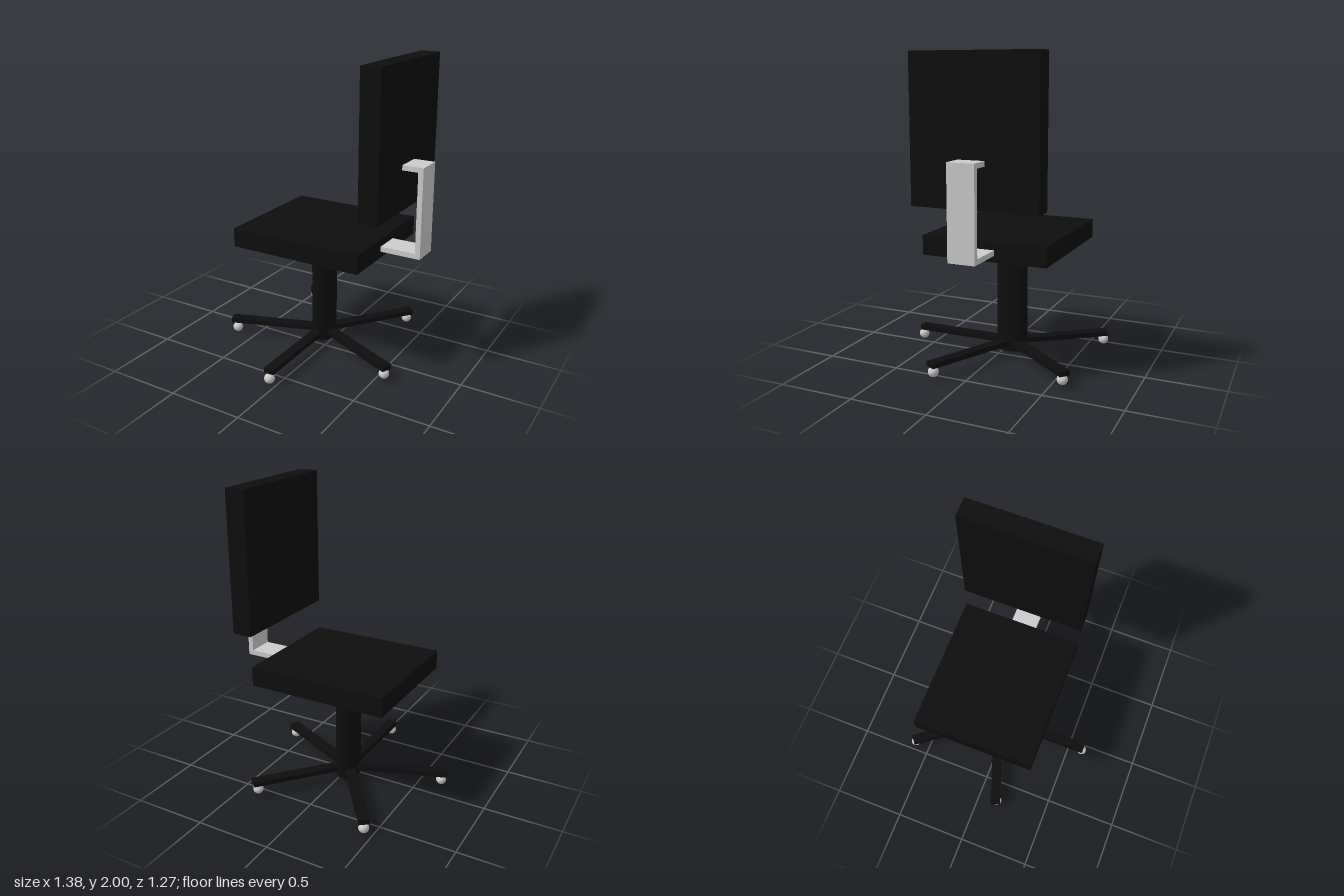
import * as THREE from 'three';

export function createModel() {
  const model = new THREE.Group();
  const black = new THREE.MeshStandardMaterial({ color: 0x0e0e0e });
  const grey = new THREE.MeshStandardMaterial({ color: 0xcccccc });

  function add(name, geometry, material, x, y, z) {
    const mesh = new THREE.Mesh(geometry, material);
    mesh.name = name;
    mesh.position.set(x, y, z);
    model.add(mesh);
    return mesh;
  }

  // Seat and backrest pads
  add('seat', new THREE.BoxGeometry(0.917, 0.126, 0.823), black, -0.038, 0.817, -0.08);
  add('backrest', new THREE.BoxGeometry(0.13, 0.915, 0.823), black, 0.485, 1.5425, -0.08);

  // C-shaped bracket joining the seat to the backrest
  const profile = new THREE.Shape([
    [0.42, 0.796], [0.689, 0.796], [0.689, 1.381], [0.55, 1.381],
    [0.55, 1.349], [0.655, 1.349], [0.655, 0.83], [0.42, 0.83],
  ].map(([x, y]) => new THREE.Vector2(x, y)));
  const bracket = new THREE.ExtrudeGeometry(profile, { depth: 0.175, bevelEnabled: false });
  add('backBracket', bracket, grey, 0, 0, -0.158);

  // Oval central column
  const column = new THREE.CylinderGeometry(1, 1, 0.715, 40);
  column.scale(0.077, 1, 0.104);
  add('column', column, black, -0.049, 0.3975, -0.08);

  // Five splayed legs, each with a ball caster under its tip
  const hub = new THREE.Vector3(-0.049, 0.094, -0.08);
  const legs = [
    { tip: [-0.049, 0.094, 0.612], ball: [-0.049, 0.041, 0.602] },
    { tip: [-0.683, 0.094, 0.143], ball: [-0.645, 0.037, 0.14] },
    { tip: [-0.454, 0.094, -0.617], ball: [-0.443, 0.046, -0.604] },
    { tip: [0.378, 0.107, -0.602], ball: [0.355, 0.058, -0.577] },
    { tip: [0.58, 0.102, 0.207], ball: [0.555, 0.052, 0.197] },
  ];
  for (const { tip, ball } of legs) {
    const end = new THREE.Vector3(...tip);
    const mid = hub.clone().lerp(end, 0.5);
    const bar = new THREE.BoxGeometry(0.07, 0.033, hub.distanceTo(end));
    add('leg', bar, black, mid.x, mid.y, mid.z).lookAt(end);
    add('caster', new THREE.SphereGeometry(0.034, 24, 16), grey, ...ball);
  }

  return model;
}
